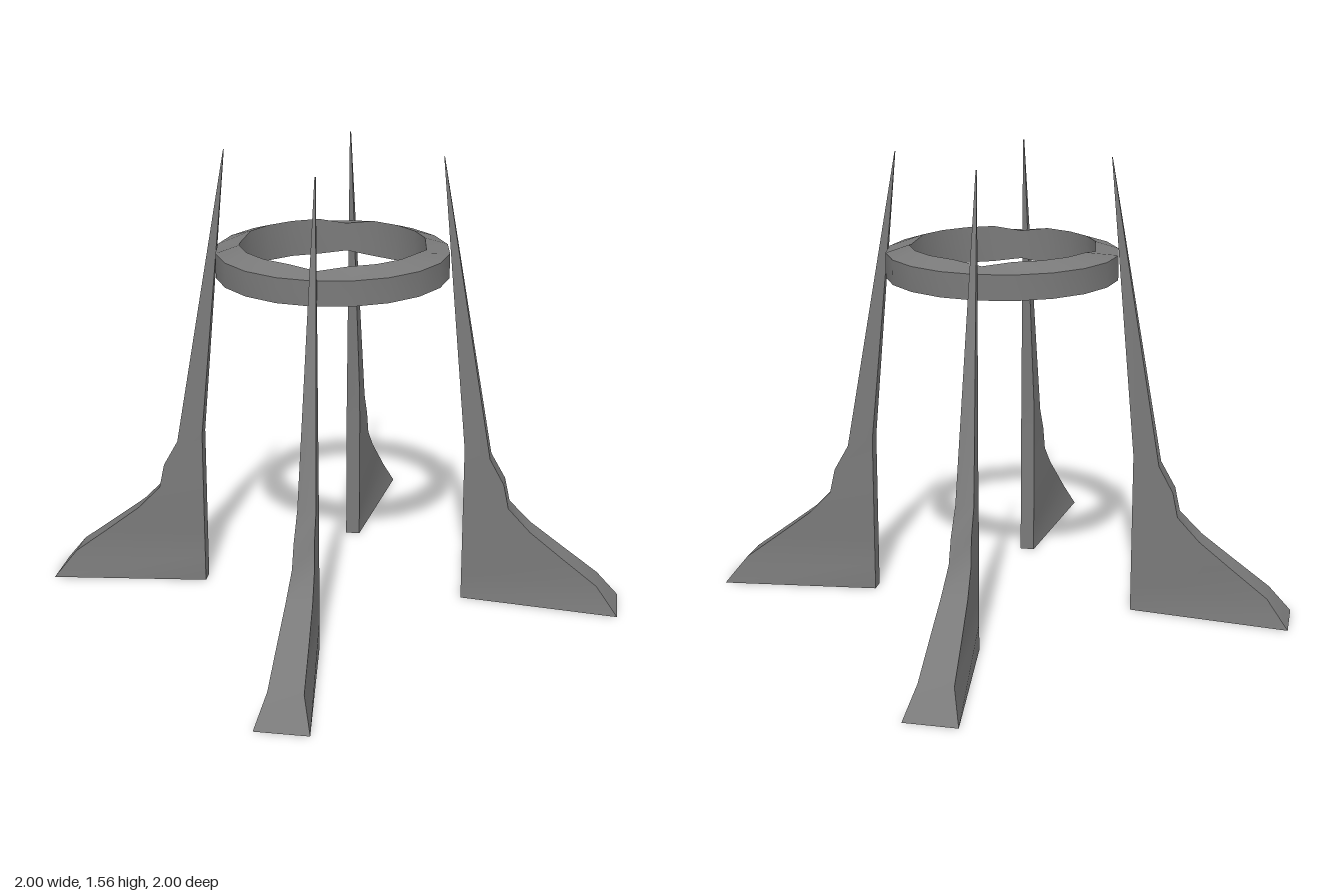
import * as THREE from 'three';
import { toCreasedNormals } from 'three/addons/utils/BufferGeometryUtils.js';

const material = new THREE.MeshStandardMaterial({ color: 0x7a7a7a });

// Skin a row of four-cornered sections; either closed into a loop or capped at both ends.
function loft(sections, closed) {
  const n = sections.length;
  const index = [];
  const rows = closed ? n : n - 1;
  for (let i = 0; i < rows; i++) {
    const lo = i * 4, hi = ((i + 1) % n) * 4;
    for (let a = 0; a < 4; a++) {
      const b = (a + 1) % 4;
      index.push(lo + b, lo + a, hi + a, lo + b, hi + a, hi + b);
    }
  }
  if (!closed) {
    const e = (n - 1) * 4;
    index.push(0, 1, 2, 0, 2, 3, e, e + 2, e + 1, e, e + 3, e + 2);
  }
  const geometry = new THREE.BufferGeometry();
  geometry.setAttribute('position', new THREE.Float32BufferAttribute(sections.flat(2), 3));
  geometry.setIndex(index);
  return toCreasedNormals(geometry, 0.6);
}

// Fin levels: outer radius, outer height, outer half width, inner radius, inner height, inner half width
function finGeometry() {
  const levels = [
    [1.0, 0, 0.088, 0.457, 0, 0.025],
    [0.925, 0.095, 0.057, 0.457, 0.095, 0.025],
    [0.8, 0.19, 0.05, 0.457, 0.19, 0.025],
    [0.69, 0.275, 0.043, 0.457, 0.275, 0.025],
    [0.613, 0.355, 0.036, 0.457, 0.355, 0.025],
    [0.595, 0.44, 0.033, 0.457, 0.44, 0.025],
    [0.545, 0.53, 0.03, 0.457, 0.56, 0.024],
    [0.365, 1.562, 0.002, 0.363, 1.562, 0.002],
  ];
  const sections = levels.map(([ro, yo, wo, ri, yi, wi]) => [
    [ro, yo, wo], [ri, yi, wi], [ri, yi, -wi], [ro, yo, -wo],
  ]);
  return loft(sections, false);
}

// Twenty-sided ring whose taller inner wall dips where it meets each fin
function ringGeometry() {
  const sections = [];
  const sides = 20, outer = 0.39, inner = 0.312;
  for (let i = 0; i < sides; i++) {
    const angle = (i / sides) * Math.PI * 2;
    const atFin = i % 5 === 0;
    const top = atFin ? 1.25 : 1.265;
    const bottom = atFin ? 1.152 : 1.14;
    const point = (r, y) => [r * Math.cos(angle), y, r * Math.sin(angle)];
    sections.push([point(outer, 1.24), point(outer, 1.157), point(inner, bottom), point(inner, top)]);
  }
  return loft(sections, true);
}

export function createModel() {
  const model = new THREE.Group();
  model.name = 'finnedRingStand';

  const ring = new THREE.Mesh(ringGeometry(), material);
  ring.name = 'ring';
  model.add(ring);

  // Four identical fins around the ring
  const fin = finGeometry();
  ['leftFin', 'backFin', 'rightFin', 'frontFin'].forEach((name, i) => {
    const mesh = new THREE.Mesh(fin, material);
    mesh.name = name;
    mesh.rotation.y = i * Math.PI / 2;
    // small sideways seat of each fin
    if (i % 2) mesh.position.x = 0.004;
    else mesh.position.z = i === 0 ? -0.008 : -0.002;
    model.add(mesh);
  });

  return model;
}
